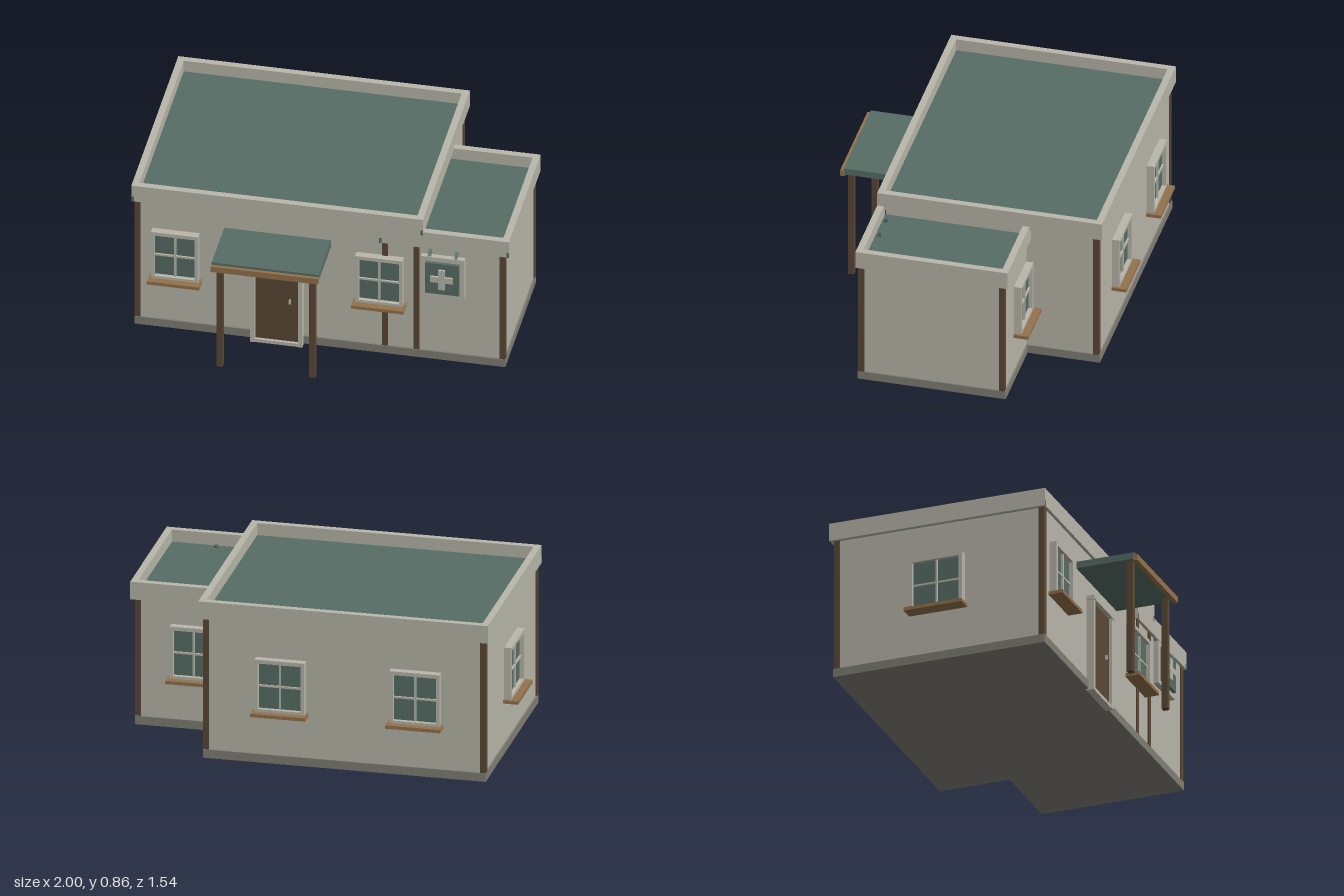
import * as THREE from 'three';

const mat = (name, color) => {
  const m = new THREE.MeshStandardMaterial({ color });
  m.name = name;
  return m;
};

export function createModel() {
  const wall = mat('plaster', 0xb9b7aa);
  const base = mat('foundation stone', 0x807e74);
  const teal = mat('teal', 0x576d66);
  const dark = mat('dark wood', 0x5a4835);
  const tan = mat('light wood', 0x94724d);

  const model = new THREE.Group();
  model.name = 'building';

  // Box given by its lower and upper limits on each axis
  const box = (parent, name, m, x0, x1, y0, y1, z0, z1) => {
    const mesh = new THREE.Mesh(new THREE.BoxGeometry(x1 - x0, y1 - y0, z1 - z0), m);
    mesh.position.set((x0 + x1) / 2, (y0 + y1) / 2, (z0 + z1) / 2);
    mesh.name = name;
    parent.add(mesh);
    return mesh;
  };
  const group = (name, x = 0, y = 0, z = 0, turn = 0) => {
    const g = new THREE.Group();
    g.name = name;
    g.position.set(x, y, z);
    g.rotation.y = turn;
    model.add(g);
    return g;
  };

  // Foundation, walls, roof slab, parapet and corner posts of one block
  const block = (name, x0, x1, z0, z1, top, wallStart) => {
    const g = group(name);
    box(g, 'foundation', base, wallStart, x1 - 0.02, 0.008, 0.053, z0 + 0.015, z1 - 0.007);
    box(g, 'walls', wall, wallStart + 0.008, x1 - 0.028, 0.053, top + 0.01, z0 + 0.023, z1 - 0.017);
    box(g, 'roof', teal, x0 + 0.004, x1 - 0.004, top + 0.001, top + 0.03, z0 + 0.004, z1 - 0.004);
    const t = 0.035, h = top + 0.095;
    box(g, 'parapetFront', wall, x0, x1, top, h, z1 - t, z1);
    box(g, 'parapetBack', wall, x0, x1, top, h, z0, z0 + t);
    box(g, 'parapetLeft', wall, x1 - t, x1, top, h, z0 + t, z1 - t);
    box(g, 'parapetRight', wall, x0, x0 + t, top, h, z0 + t, z1 - t);
    // Slab ends showing at the front corners
    for (const x of [x0, x1 - 0.013])
      box(g, 'slabEnd', teal, x, x + 0.013, top, top + 0.03, z1 - 0.002, z1 + 0.001);
    for (const x of [x0 + 0.03, x1 - 0.035])
      for (const z of [z0 + 0.035, z1 - 0.025])
        box(g, 'cornerPost', dark, x - 0.015, x + 0.015, 0.053, top, z - 0.015, z + 0.015);
  };
  block('mainBlock', -0.945, 0.557, -0.715, 0.455, 0.762, -0.93);
  block('sideWing', 0.33, 1.0, -0.338, 0.455, 0.687, 0.4);

  // Four-pane window with its sill; origin at the frame's bottom centre on the wall
  const windowUnit = (x, y, z, turn, sillWidth) => {
    const g = group('window', x, y, z, turn);
    const s = sillWidth / 2, w = s - 0.013, i = w - 0.018, h = 0.28;
    box(g, 'glass', teal, -i, i, 0.012, h - 0.015, -0.005, 0.012);
    for (const k of [-1, 1]) {
      const a = k * i, b = k * w;
      box(g, 'frameSide', wall, Math.min(a, b), Math.max(a, b), 0, h - 0.02, -0.005, 0.034);
    }
    box(g, 'frameTop', wall, -w, w, h - 0.02, h, -0.005, 0.034);
    box(g, 'frameBottom', wall, -i, i, 0, 0.014, -0.005, 0.034);
    box(g, 'mullion', wall, -0.005, 0.005, 0.014, h - 0.02, 0, 0.022);
    box(g, 'crossbar', wall, -i, i, 0.131, 0.141, 0, 0.021);
    box(g, 'sill', tan, -s, s, -0.018, 0, -0.005, 0.072);
  };
  windowUnit(-0.718, 0.323, 0.444, 0, 0.27);
  windowUnit(0.334, 0.323, 0.444, 0, 0.27);
  windowUnit(-0.568, 0.295, -0.698, Math.PI, 0.285);
  windowUnit(0.133, 0.295, -0.698, Math.PI, 0.285);
  windowUnit(0.67, 0.285, -0.323, Math.PI, 0.27);
  windowUnit(-0.928, 0.295, -0.132, -Math.PI / 2, 0.315);

  // Front door
  const door = group('door');
  box(door, 'doorPanel', dark, -0.306, -0.08, 0.02, 0.503, 0.435, 0.46);
  box(door, 'doorFrameRight', wall, -0.328, -0.305, 0.001, 0.503, 0.435, 0.478);
  box(door, 'doorFrameLeft', wall, -0.081, -0.06, 0.001, 0.503, 0.435, 0.478);
  box(door, 'doorHeader', wall, -0.333, -0.055, 0.501, 0.523, 0.435, 0.483);
  box(door, 'threshold', wall, -0.306, -0.08, 0.001, 0.02, 0.435, 0.475);
  box(door, 'doorHandle', wall, -0.131, -0.121, 0.253, 0.277, 0.459, 0.472);

  // Porch canopy on two posts
  const porch = group('porch');
  box(porch, 'canopyRoof', teal, -0.47, 0.081, 0.618, 0.654, 0.435, 0.752);
  box(porch, 'canopyBeam', tan, -0.471, 0.082, 0.608, 0.641, 0.745, 0.77);
  for (const x of [-0.433, 0.044])
    box(porch, 'porchPost', dark, x - 0.016, x + 0.016, 0.008, 0.62, 0.703, 0.735);

  // Hanging sign with a cross in relief
  const sign = group('sign');
  box(sign, 'signBoard', wall, 0.552, 0.775, 0.418, 0.653, 0.452, 0.48);
  box(sign, 'signPanel', teal, 0.577, 0.75, 0.443, 0.627, 0.475, 0.497);
  box(sign, 'crossUpright', wall, 0.646, 0.68, 0.477, 0.595, 0.49, 0.508);
  for (const [a, b] of [[0.604, 0.646], [0.68, 0.722]])
    box(sign, 'crossArm', wall, a, b, 0.519, 0.553, 0.49, 0.508);
  for (const x of [0.594, 0.73]) {
    const rod = box(sign, 'signHanger', teal, x - 0.008, x + 0.008, 0.628, 0.75, 0.424, 0.438);
    rod.rotation.x = -Math.PI / 4;
  }

  return model;
}
